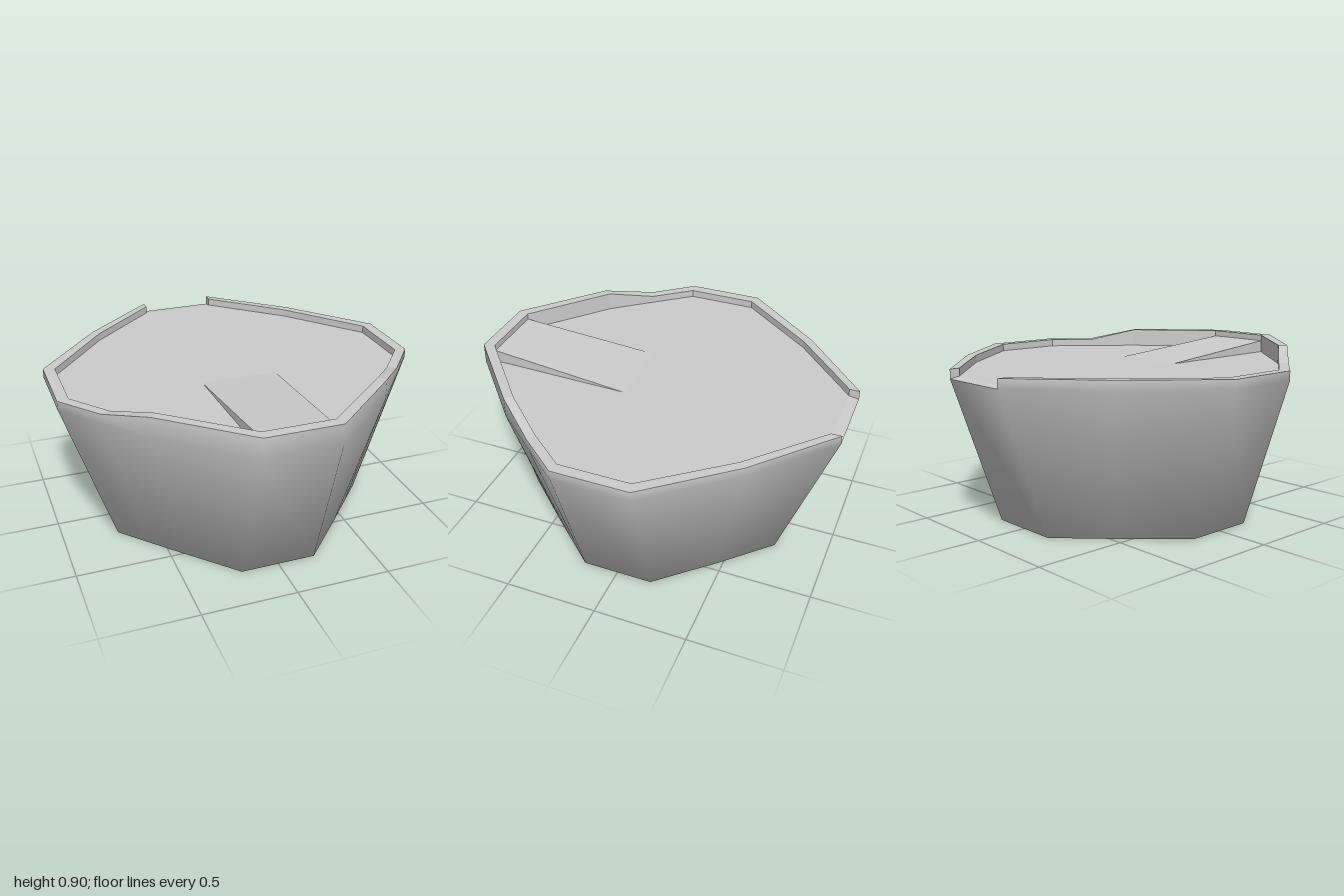
import * as THREE from 'three';

// Half outlines (x, z) from back to front; mirrored to make closed loops
const OUTER = [[0.205, -1], [0.61, -0.64], [0.97, -0.21], [0.97, 0.2], [0.8, 0.41], [0.61, 0.64], [0.2, 1]];
const INNER = [[0.205, -0.945], [0.58, -0.6], [0.91, -0.19], [0.91, 0.19], [0.75, 0.39], [0.58, 0.6], [0.185, 0.94]];
const BASE = [[0.2, -0.72], [0.45, -0.47], [0.71, -0.19], [0.71, 0.19], [0.585, 0.33], [0.45, 0.48], [0.2, 0.75]];
const TOP = [0.84, 0.84, 0.84, 0.84, 0.84, 0.9, 0.9];
const BAND = 0.79, FLOOR = 0.8;

// Closed loop of 3D points; y is a number or a list of heights per half point
function loop(half, y) {
  const right = half.map(([x, z], i) => [x, Array.isArray(y) ? y[i] : y, z]);
  return [...right, ...right.map(([x, h, z]) => [-x, h, z]).reverse()];
}
const point = (p, n) => Array.from({ length: n }, () => p);

// Skin neighbouring rows of points; skip(row, column) leaves quads out
function skin(rows, smooth, skip = () => false) {
  const n = rows[0].length, index = [];
  for (let r = 0; r + 1 < rows.length; r++) {
    for (let i = 0; i < n; i++) {
      if (skip(r, i)) continue;
      const j = (i + 1) % n, a = r * n + i, b = a + n, c = (r + 1) * n + j, d = r * n + j;
      index.push(a, b, c, a, c, d);
    }
  }
  let g = new THREE.BufferGeometry();
  g.setAttribute('position', new THREE.Float32BufferAttribute(rows.flat(2), 3));
  g.setIndex(index);
  if (!smooth) g = g.toNonIndexed();
  g.computeVertexNormals();
  return g;
}

// Flat polygons given as corner lists
function polygons(list) {
  const pos = [];
  for (const p of list) for (let i = 1; i + 1 < p.length; i++) pos.push(...p[0], ...p[i], ...p[i + 1]);
  const g = new THREE.BufferGeometry();
  g.setAttribute('position', new THREE.Float32BufferAttribute(pos, 3));
  g.computeVertexNormals();
  return g;
}

export function createModel() {
  const group = new THREE.Group();
  const material = new THREE.MeshStandardMaterial({ color: 0xcccccc });
  const add = (name, geometry) => {
    const mesh = new THREE.Mesh(geometry, material);
    mesh.name = name;
    group.add(mesh);
  };
  const base = loop(BASE, 0), band = loop(OUTER, BAND), top = loop(OUTER, TOP);
  const innerTop = loop(INNER, TOP), innerFloor = loop(INNER, FLOOR);
  const n = base.length, back = n - 1;

  // Tapered body with smooth sides; the upright band is open at the back notch
  const under = base.map(([x, y, z]) => [x * 0.001, y, z * 0.001]);
  add('body', skin([under, base, band, top], true, (r, i) => r === 2 && i === back));

  // Rim top and inner face, open at the back notch
  add('rim', skin([top, innerTop, innerFloor], false, (r, i) => i === back));

  // Notch: sloping lip and the two rim ends
  add('notch', polygons([
    [band[back], innerFloor[back], innerFloor[0], band[0]],
    [band[0], innerFloor[0], innerTop[0], top[0]],
    [band[back], top[back], innerTop[back], innerFloor[back]],
  ]));

  // Flat deck inside the rim
  add('deck', skin([innerFloor, point([0, FLOOR, 0], n)], false));

  // Wedge ramp rising to the front
  const [l0, r0] = [[0.205, FLOOR, 0.16], [-0.205, FLOOR, 0.16]];
  const [l1, r1] = [[0.185, 0.867, 0.94], [-0.185, 0.867, 0.94]];
  const [lb, rb] = [[0.185, FLOOR, 0.94], [-0.185, FLOOR, 0.94]];
  add('ramp', polygons([[l0, r0, r1, l1], [l0, l1, lb], [r0, rb, r1], [l1, r1, rb, lb]]));

  return group;
}
